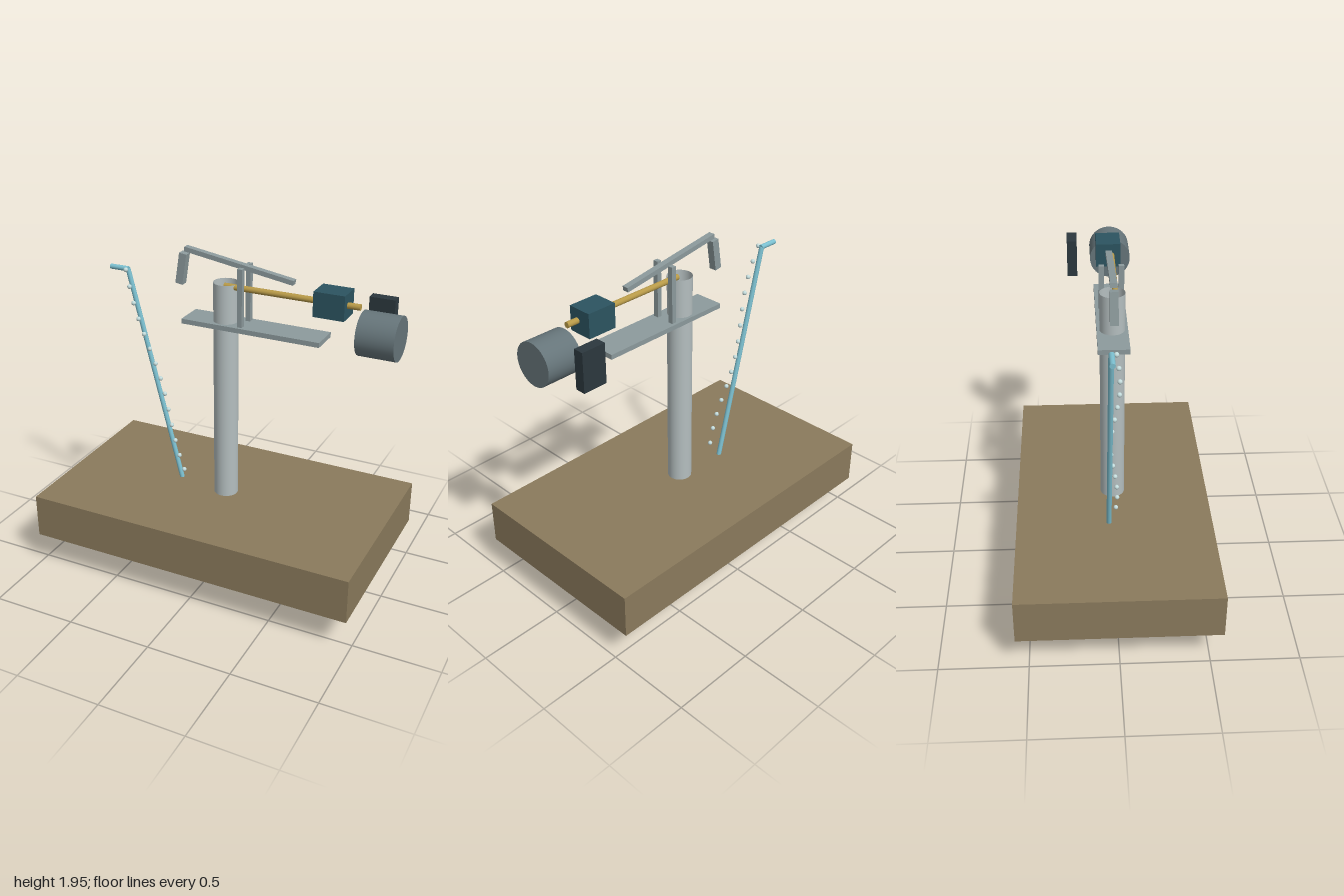
import * as THREE from 'three';

const mat = (color, extra = {}) => new THREE.MeshStandardMaterial({ color, ...extra });

export function createModel() {
  const model = new THREE.Group();
  const soil = mat(0x8a7a5c);
  const casingMat = mat(0xb4bebf, { side: THREE.DoubleSide });
  const steel = mat(0x8c9a9c);
  const brass = mat(0xb89a48);
  const teal = mat(0x2c5460);
  const dark = mat(0x2c383e);
  const motorMat = mat(0x66757a);
  const water = mat(0x7cc0d0);
  const bubbleMat = mat(0xc4dcdc);

  const add = (name, geometry, material, x, y, z, rotZ = 0) => {
    const mesh = new THREE.Mesh(geometry, material);
    mesh.name = name;
    mesh.position.set(x, y, z);
    mesh.rotation.z = rotZ;
    model.add(mesh);
    return mesh;
  };
  const box = (name, material, size, pos, rotZ) =>
    add(name, new THREE.BoxGeometry(...size), material, ...pos, rotZ);
  // Round bar between two points
  const bar = (name, material, a, b, radius, sides = 16) => {
    const from = new THREE.Vector3(...a), to = new THREE.Vector3(...b);
    const dir = to.clone().sub(from);
    const mid = from.clone().add(to).multiplyScalar(0.5);
    const mesh = add(name, new THREE.CylinderGeometry(radius, radius, dir.length(), sides), material, mid.x, mid.y, mid.z);
    mesh.quaternion.setFromUnitVectors(new THREE.Vector3(0, 1, 0), dir.normalize());
  };

  // Ground block and the open well casing running through it
  box('groundBlock', soil, [1.98, 0.265, 1.14], [-0.01, 0.327, 0]);
  add('wellCasing', new THREE.CylinderGeometry(0.071, 0.071, 1.74, 40, 1, true), casingMat, -0.01, 0.91, 0);
  add('intakeFoot', new THREE.CylinderGeometry(0.036, 0.031, 0.1, 12), motorMat, -0.01, 0.05, 0);

  // Platform with a pair of uprights carrying the walking beam
  box('platform', steel, [0.825, 0.028, 0.175], [0.167, 1.542, 0]);
  for (const side of [-1, 1])
    box('upright', steel, [0.028, 0.335, 0.03], [0.105, 1.72, side * 0.055]);
  box('walkingBeam', steel, [0.66, 0.027, 0.037], [0.067, 1.887, -0.003], -0.155);
  box('beamHead', steel, [0.045, 0.18, 0.045], [-0.28, 1.822, -0.002], -0.155);

  // Drive line: shaft, gearbox, motor and control box
  bar('driveShaft', brass, [-0.01, 1.764, 0.018], [0.775, 1.764, 0.018], 0.017);
  box('gearbox', teal, [0.175, 0.14, 0.142], [0.617, 1.76, 0]);
  bar('motor', motorMat, [0.79, 1.628, 0.02], [1, 1.628, 0.02], 0.122, 40);
  box('controlBox', dark, [0.145, 0.227, 0.06], [0.827, 1.643, -0.212]);

  // Slanted water pipe with its spout
  bar('waterPipe', water, [-0.655, 1.755, -0.033], [-0.325, 0.445, -0.033], 0.0145);
  bar('spout', water, [-0.768, 1.754, -0.031], [-0.65, 1.754, -0.031], 0.015);

  // Bubbles winding along the pipe
  const bubble = new THREE.SphereGeometry(0.0135, 14, 10);
  for (let i = 0; i < 14; i++)
    add('bubble', bubble, bubbleMat, -0.655 + 0.028 * i, 1.755 - 0.0935 * i, -0.007 + 0.021 * Math.sin(0.66 * i));

  return model;
}
